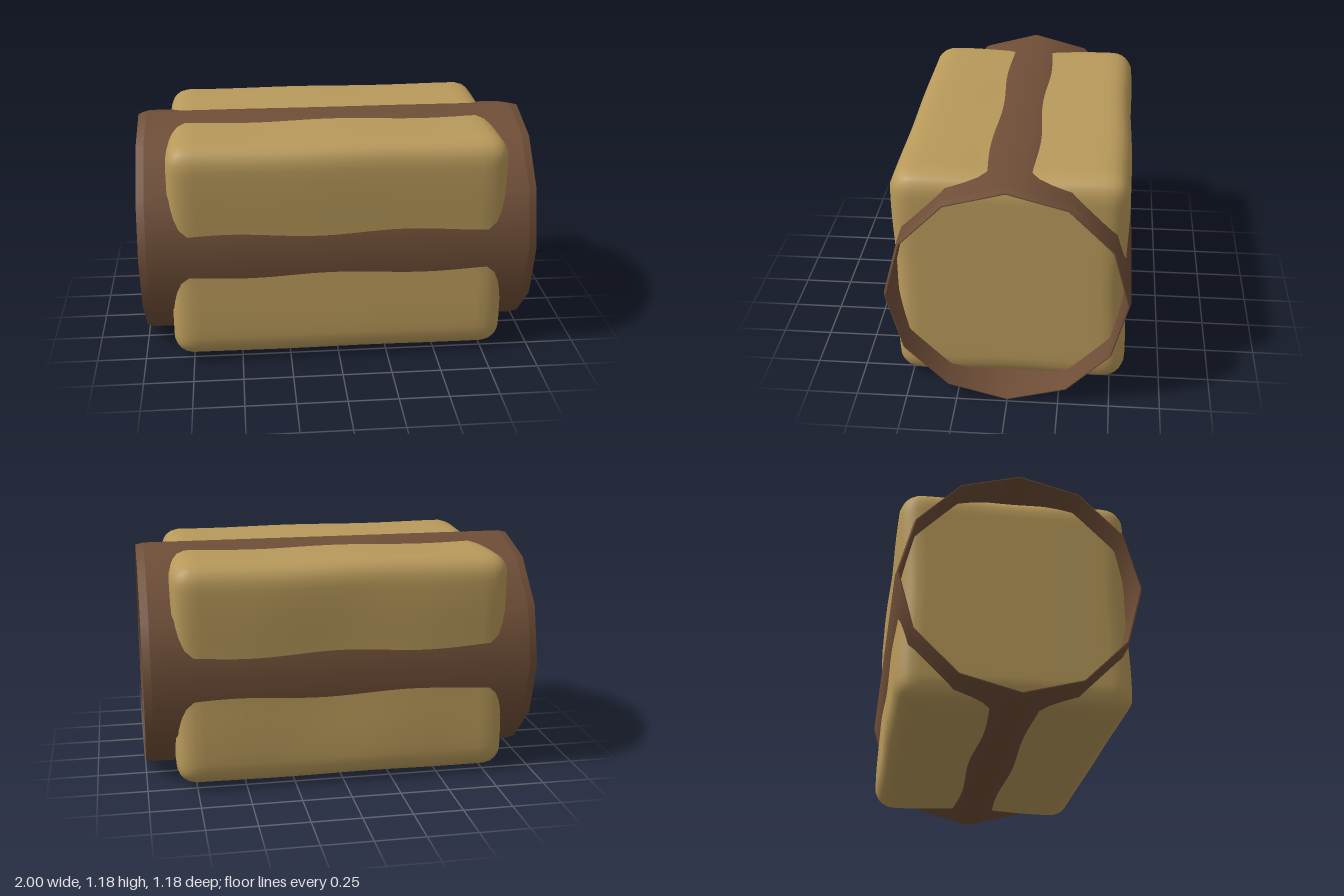
import * as THREE from 'three';
import { mergeVertices } from 'three/addons/utils/BufferGeometryUtils.js';

const RADIUS = 0.588;
const MID_Y = 0.592;

// Twelve-sided open pipe along x; repeated profile points keep the rims sharp
function makeSleeve() {
  const inner = 0.573, rim = 0.578;
  const p = [
    [rim, -1], [RADIUS, -0.96],
    [RADIUS, -0.96], [RADIUS, 0.96],
    [RADIUS, 0.96], [rim, 1],
    [rim, 1], [inner, 1],
    [inner, 1], [inner, -1],
    [inner, -1], [rim, -1],
  ].map(([r, h]) => new THREE.Vector2(r, h));
  return new THREE.LatheGeometry(p, 12).rotateZ(-Math.PI / 2);
}

// Soft box with rounded edges and slightly hollow, uneven long sides
function makeFilling() {
  const half = new THREE.Vector3(0.85, 0.556, 0.556);
  const round = 0.1;
  const geo = new THREE.BoxGeometry(half.x * 2, half.y * 2, half.z * 2, 36, 28, 28);
  geo.deleteAttribute('uv');
  geo.deleteAttribute('normal');
  const core = half.clone().subScalar(round);
  const low = core.clone().negate();
  const pos = geo.attributes.position;
  const v = new THREE.Vector3(), c = new THREE.Vector3();
  const swell = (d) => 0.013 * Math.sin(Math.min(Math.abs(d) / 0.4, 1.3) * Math.PI / 2) ** 2;
  for (let i = 0; i < pos.count; i++) {
    v.fromBufferAttribute(pos, i);
    c.copy(v).clamp(low, core);
    v.sub(c).setLength(round).add(c);
    const { x, y, z } = v;
    const wave = 0.003 * Math.sin(x * 7 + y * 3 - z * 2);
    v.y += (y / half.y) * (swell(z) + wave);
    v.z += (z / half.z) * (swell(y) - wave);
    pos.setXYZ(i, v.x, v.y, v.z);
  }
  const smooth = mergeVertices(geo, 1e-4);
  smooth.computeVertexNormals();
  return smooth;
}

export function createModel() {
  const brown = new THREE.MeshStandardMaterial({ color: 0x6f4e37 });
  brown.name = 'brown';
  const tan = new THREE.MeshStandardMaterial({ color: 0xb8995a });
  tan.name = 'tan';

  const model = new THREE.Group();
  model.name = 'wrappedBlock';
  const add = (name, geometry, material) => {
    const mesh = new THREE.Mesh(geometry, material);
    mesh.name = name;
    mesh.position.y = MID_Y;
    model.add(mesh);
  };
  add('sleeve', makeSleeve(), brown);
  add('filling', makeFilling(), tan);
  return model;
}
